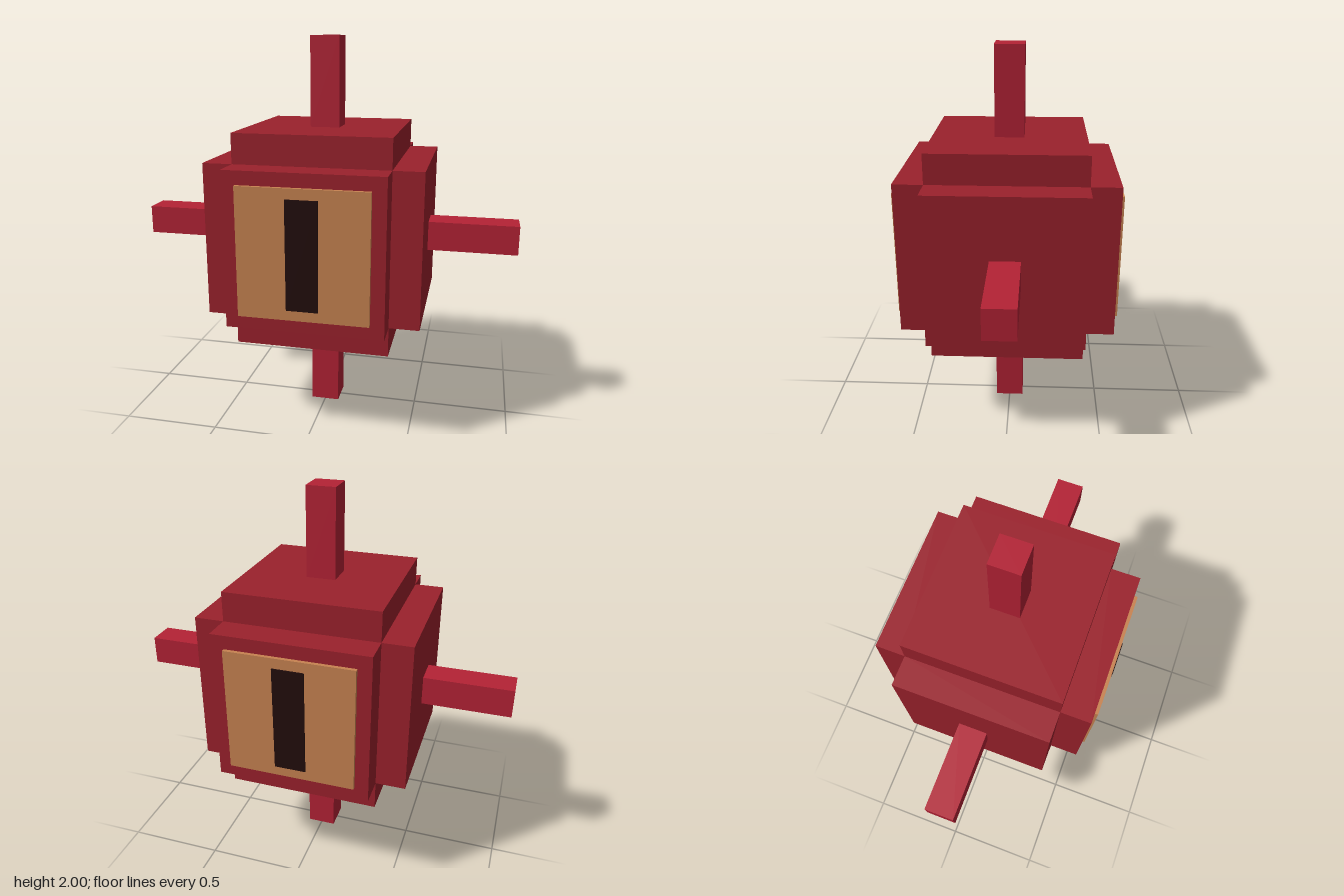
import * as THREE from 'three';

const material = (name, color) => {
  const m = new THREE.MeshStandardMaterial({ color });
  m.name = name;
  return m;
};

export function createModel() {
  const model = new THREE.Group();
  model.name = 'spikedCube';
  const bodyRed = material('body red', 0x9b212c);
  const rodRed = material('rod red', 0xb42235);
  const tan = material('eye tan', 0xc88351);
  const black = material('pupil black', 0x220d0c);
  const CENTER = 1, HALF = 0.393, REACH = 0.545, ROD = 0.075;

  const box = (name, mat, size, x, y, z, parent = model) => {
    const mesh = new THREE.Mesh(new THREE.BoxGeometry(...size), mat);
    mesh.name = name;
    mesh.position.set(x, y, z);
    parent.add(mesh);
    return mesh;
  };

  // Central cube
  box('core', bodyRed, [HALF * 2, HALF * 2, HALF * 2], 0, CENTER, 0);

  // Raised plate on each of the six faces, with rods on the sides, top and bottom
  ['x', 'y', 'z'].forEach((axis, i) => {
    for (const s of [-1, 1]) {
      const addAlong = (name, mat, width, from, to) => {
        const size = [width, width, width];
        size[i] = to - from;
        const pos = [0, CENTER, 0];
        pos[i] += s * (from + to) / 2;
        box(name, mat, size, ...pos);
      };
      addAlong('facePlate', bodyRed, HALF * 2, HALF, REACH);
      if (axis !== 'z') addAlong('rod', rodRed, ROD * 2, REACH, 1);
    }
  });

  // Square eye with a slit pupil, front and back
  for (const turn of [0, Math.PI]) {
    const eye = new THREE.Group();
    eye.name = turn ? 'backEye' : 'frontEye';
    eye.position.y = CENTER;
    eye.rotation.y = turn;
    box('eyePanel', tan, [0.648, 0.648, 0.02], 0, 0, REACH + 0.009, eye);
    box('pupil', black, [0.158, 0.544, 0.008], 0, 0, 0.566, eye);
    model.add(eye);
  }
  return model;
}
